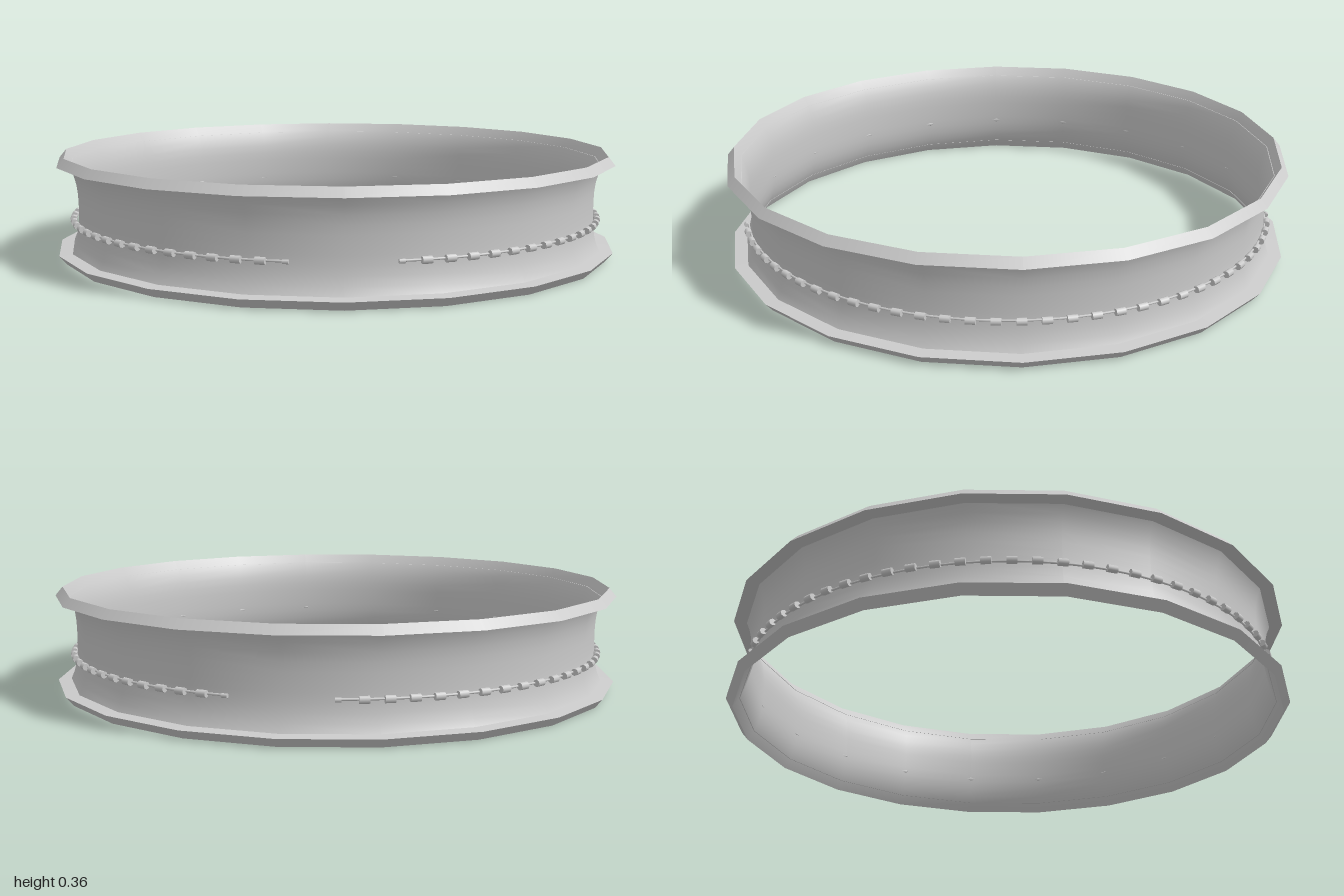
import * as THREE from 'three';

const SIDES = 20;      // facets around the ring
const HEIGHT = 0.364;
const BEAD_Y = 0.135;
const BEAD_R = 0.939;
const BEADS = 35;      // beads on each side
const GAP = 10.5 * Math.PI / 180; // half the opening at front and back

export function createModel() {
  const model = new THREE.Group();
  const metal = new THREE.MeshStandardMaterial({ color: 0xcccccc, side: THREE.DoubleSide });

  function add(geometry, name, parent = model) {
    const mesh = new THREE.Mesh(geometry, metal);
    mesh.name = name;
    parent.add(mesh);
    return mesh;
  }
  const ring = (points) =>
    new THREE.LatheGeometry(points.map(([r, y]) => new THREE.Vector2(r, y)), SIDES);

  // Thin wall, waisted at mid height and flaring to both rims
  const wall = [];
  for (let i = 0; i <= 12; i++) {
    const t = i / 6 - 1;
    wall.push([0.929 + 0.046 * Math.abs(t) ** 3, HEIGHT / 2 * (1 + t)]);
  }
  add(ring(wall), 'wall');

  // Turned-over lips, separate bands so that their edges stay sharp
  for (const [name, y] of [['top', (v) => HEIGHT - v], ['bottom', (v) => v]]) {
    add(ring([[0.975, y(0)], [1, y(0.03)]]), name + 'LipSlope');
    add(ring([[1, y(0.03)], [0.952, y(0.034)]]), name + 'LipUnderside');
  }

  // A string of beads on each side, open at the front and back
  const beadGeometry = new THREE.CylinderGeometry(0.012, 0.012, 0.032, 8);
  beadGeometry.rotateZ(Math.PI / 2);
  for (const side of [1, -1]) {
    const string = new THREE.Group();
    string.name = side > 0 ? 'leftBeadString' : 'rightBeadString';
    model.add(string);
    const path = [];
    for (let i = 0; i < BEADS; i++) {
      const a = side * (GAP + (Math.PI - 2 * GAP) * i / (BEADS - 1));
      const bead = add(beadGeometry, 'bead', string);
      bead.position.set(BEAD_R * Math.sin(a), BEAD_Y, BEAD_R * Math.cos(a));
      bead.rotation.y = a;
      if (i === 0 || i === BEADS - 1) bead.scale.setScalar(0.6);
      path.push(new THREE.Vector3(0.932 * Math.sin(a), BEAD_Y, 0.932 * Math.cos(a)));
    }
    add(new THREE.TubeGeometry(new THREE.CatmullRomCurve3(path), 100, 0.004, 6), 'thread', string);
  }
  return model;
}
